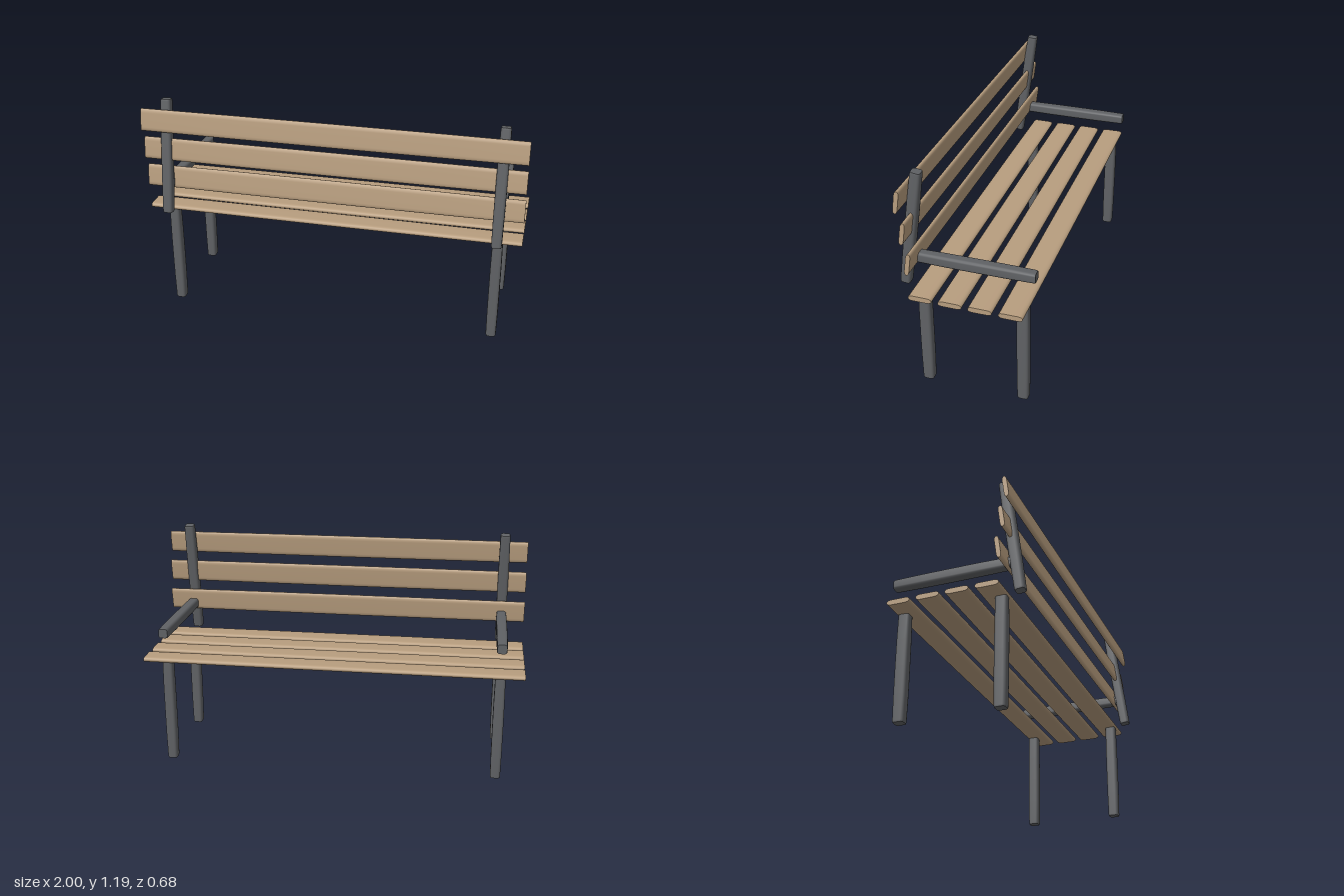
import * as THREE from 'three';

// Bar along z: a rounded rectangle w x h lofted through slightly swelling stations, with flat caps
function barGeometry(w, h, length, rx, ry, stations) {
  const ring = [];
  for (let c = 0; c < 4; c++) {
    const sx = c === 0 || c === 3 ? 1 : -1;
    const sy = c < 2 ? 1 : -1;
    for (let k = 0; k <= 3; k++) {
      const a = (c + k / 3) * Math.PI / 2;
      ring.push([sx * (w / 2 - rx) + rx * Math.cos(a), sy * (h / 2 - ry) + ry * Math.sin(a)]);
    }
  }
  const n = ring.length, positions = [], index = [];
  const addRing = ([t, s]) => {
    const start = positions.length / 3;
    ring.forEach(([x, y]) => positions.push(x * s, y * s, t * length / 2));
    return start;
  };
  stations.forEach(addRing);
  for (let i = 0; i < stations.length - 1; i++) {
    for (let j = 0; j < n; j++) {
      const a = i * n + j, b = i * n + (j + 1) % n;
      index.push(a, b, b + n, a, b + n, a + n);
    }
  }
  const back = addRing(stations[0]);
  const front = addRing(stations[stations.length - 1]);
  for (let j = 1; j < n - 1; j++) {
    index.push(back, back + j + 1, back + j, front, front + j, front + j + 1);
  }
  const g = new THREE.BufferGeometry();
  g.setAttribute('position', new THREE.Float32BufferAttribute(positions, 3));
  g.setIndex(index);
  g.computeVertexNormals();
  return g;
}

export function createModel() {
  const group = new THREE.Group();
  const wood = new THREE.MeshStandardMaterial({ color: 0xb79d7e });
  wood.name = 'wood';
  const metal = new THREE.MeshStandardMaterial({ color: 0x5f6164 });
  metal.name = 'dark metal';

  const add = (name, geometry, material, x, y, z, tilt = 0) => {
    const mesh = new THREE.Mesh(geometry, material);
    mesh.name = name;
    mesh.position.set(x, y, z);
    mesh.rotation.x = tilt;
    group.add(mesh);
  };

  const slatStations = [[-1, 0.96], [-0.5, 0.99], [0, 1], [0.5, 0.99], [1, 0.96]];
  const barStations = [[-1, 0.85], [-0.97, 0.93], [-0.5, 0.99], [0, 1], [0.5, 0.99], [0.97, 0.93], [1, 0.85]];
  const lean = -0.138;

  // Seat slats
  const seatSlat = barGeometry(0.123, 0.028, 2, 0.022, 0.012, slatStations).rotateY(Math.PI / 2);
  [0.197, 0.047, -0.102, -0.253].forEach((z) => add('seatSlat', seatSlat, wood, 0, 0.566, z));

  // Back slats, staggered through the leaning posts
  const backSlat = barGeometry(0.024, 0.123, 2, 0.01, 0.022, slatStations).rotateY(Math.PI / 2);
  [[1.078, 0.284], [0.915, 0.265], [0.751, 0.248]].forEach(([y, z]) => add('backSlat', backSlat, wood, 0, y, z, lean));

  // Legs, back posts and armrests on both sides
  const leg = barGeometry(0.056, 0.061, 0.56, 0.014, 0.014, barStations).rotateX(Math.PI / 2);
  const post = barGeometry(0.056, 0.056, 0.618, 0.014, 0.014, barStations).rotateX(Math.PI / 2);
  const arm = barGeometry(0.056, 0.057, 0.615, 0.014, 0.014, barStations);
  for (const x of [-0.875, 0.875]) {
    add('frontLeg', leg, metal, x, 0.28, 0.223);
    add('rearLeg', leg, metal, x, 0.28, -0.277);
    add('backPost', post, metal, x, 0.878, 0.2725, lean);
    add('armrest', arm, metal, x, 0.728, -0.033);
  }
  return group;
}
